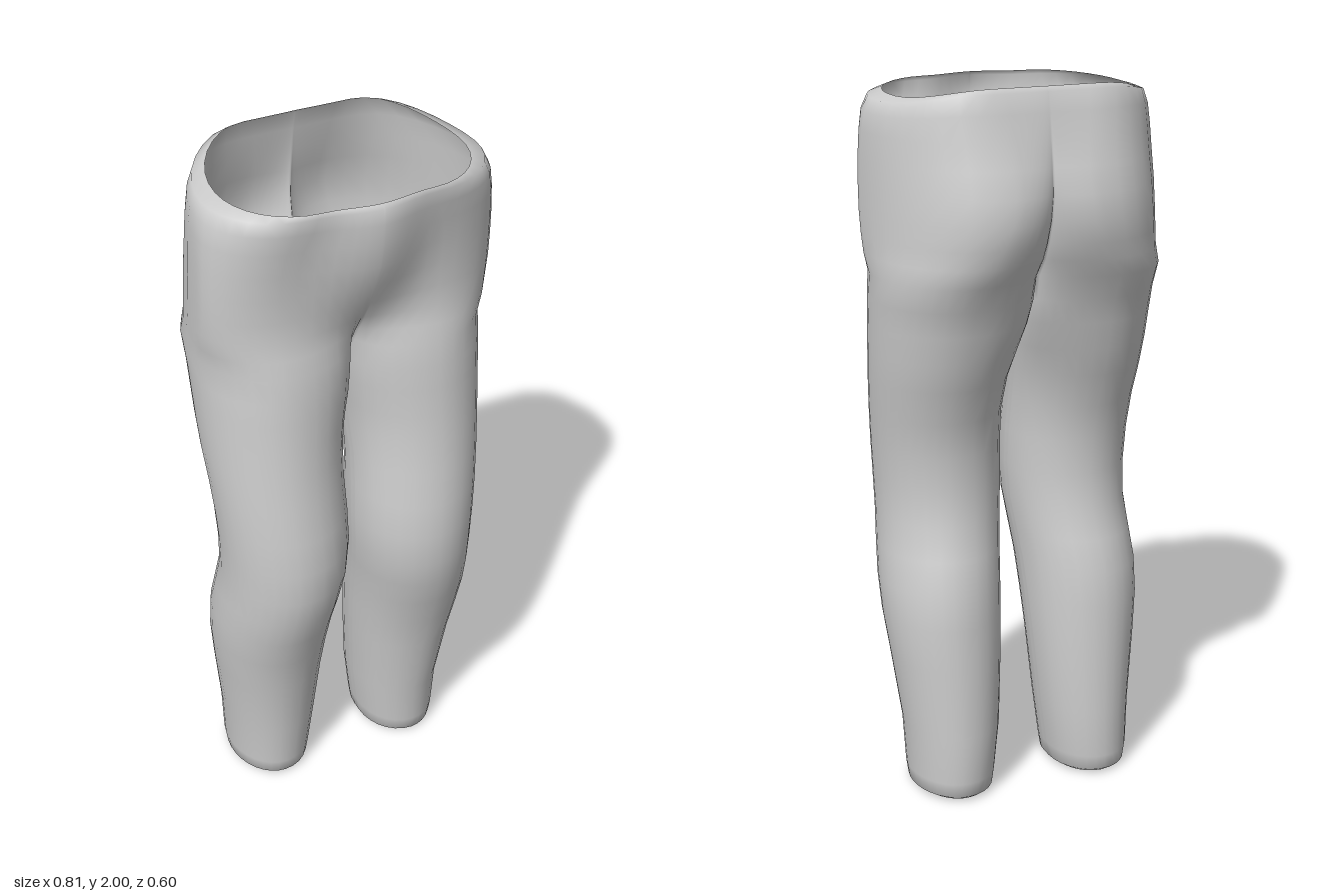
import * as THREE from 'three';
import { mergeVertices } from 'three/addons/utils/BufferGeometryUtils.js';

// Leg sections: height, inner x, outer x, front z, back z
const LEG = [
  [0.004, 0.118, 0.302, 0.105, -0.158], [0.018, 0.098, 0.324, 0.128, -0.178],
  [0.06, 0.092, 0.33, 0.135, -0.183], [0.2, 0.075, 0.337, 0.148, -0.185],
  [0.4, 0.06, 0.362, 0.182, -0.175], [0.52, 0.052, 0.376, 0.213, -0.168],
  [0.62, 0.046, 0.378, 0.246, -0.158], [0.71, 0.037, 0.371, 0.274, -0.134],
  [0.8, 0.026, 0.365, 0.291, -0.106], [0.9, 0.02, 0.368, 0.294, -0.098],
  [1.0, 0.022, 0.375, 0.285, -0.1], [1.1, 0.025, 0.383, 0.271, -0.117],
  [1.2, 0.02, 0.391, 0.259, -0.152], [1.28, 0.012, 0.395, 0.252, -0.178],
  [1.36, 0.003, 0.398, 0.246, -0.198], [1.43, 0.001, 0.4, 0.242, -0.218],
  [1.5, 0, 0.402, 0.234, -0.252],
];
// Hip sections: height, outer x, front peak x, back peak x, front z, back z,
// z of the widest point, centre front z, centre back z
const HIP = [
  [1.55, 0.404, 0.2, 0.17, 0.224, -0.27, 0.04, 0.145, -0.19],
  [1.6, 0.405, 0.2, 0.15, 0.216, -0.286, 0.06, 0.185, -0.22],
  [1.66, 0.405, 0.2, 0.13, 0.216, -0.298, 0.075, 0.22, -0.245],
  [1.73, 0.404, 0.2, 0.12, 0.222, -0.294, 0.08, 0.254, -0.257],
  [1.8, 0.402, 0.2, 0.12, 0.232, -0.273, 0.08, 0.281, -0.252],
  [1.87, 0.398, 0.19, 0.13, 0.247, -0.25, 0.075, 0.295, -0.242],
  [1.92, 0.391, 0.17, 0.14, 0.262, -0.234, 0.07, 0.3, -0.232],
  [1.955, 0.374, 0.16, 0.15, 0.27, -0.22, 0.06, 0.298, -0.22],
  [1.967, 0.333, 0.15, 0.15, 0.265, -0.205, 0.05, 0.286, -0.207],
];
const INNER = 7, OUTER = 8, BRIDGE = 5;
const OPEN = 2 * (INNER + OUTER) + 1; // points from centre front round to centre back
const CLOSED = OPEN + BRIDGE;         // plus the inner thigh

// One half section, from the inner front round the outside to the inner back
function section({ y, xi, xo, xf, xb, zf, zb, zm, zcf, zcb, hip }) {
  const pts = [];
  const quarter = Math.PI / 2;
  for (let i = 0; i < INNER; i++) {
    const t = quarter * (1 - i / INNER), s = Math.sin(t);
    const w = THREE.MathUtils.lerp(Math.cos(t), 0.5 + 0.5 * Math.cos(Math.PI * s), hip);
    pts.push([xf - (xf - xi) * s, zcf + (zf - zcf) * w]);
  }
  for (let i = 0; i < OUTER; i++) {
    const t = quarter * i / OUTER;
    pts.push([xf + (xo - xf) * Math.sin(t), zm + (zf - zm) * Math.cos(t)]);
  }
  for (let i = 0; i < OUTER; i++) {
    const t = quarter * i / OUTER;
    pts.push([xb + (xo - xb) * Math.cos(t), zm + (zb - zm) * Math.sin(t)]);
  }
  for (let i = 0; i <= INNER; i++) {
    const t = quarter * i / INNER;
    const w = Math.pow(Math.max(0, Math.cos(t)), 1 + 0.5 * hip);
    pts.push([xb - (xb - xi) * Math.sin(t), zcb + (zb - zcb) * w]);
  }
  for (let i = 1; i <= BRIDGE; i++) pts.push([xi, THREE.MathUtils.lerp(zcb, zcf, i / (BRIDGE + 1))]);
  // the waist rises at the back and a little at the front
  const rim = THREE.MathUtils.smoothstep(y, 1.88, 1.96);
  return pts.map(([x, z]) => [x, y + rim * (z < 0 ? 0.033 * Math.min(1, (z / 0.205) ** 2) : 0.012 * (z / 0.29) ** 2), z]);
}

function trouserGeometry() {
  const rows = LEG.map(([y, xi, xo, zf, zb]) => {
    const mid = (xi + xo) / 2, zm = (zf + zb) / 2;
    const crotch = THREE.MathUtils.smoothstep(y, 1.15, 1.5);
    return section({
      y, xi, xo, xf: mid, xb: mid, zf, zb, zm, hip: 0,
      zcf: THREE.MathUtils.lerp(zm + 0.015, 0.1, crotch),
      zcb: THREE.MathUtils.lerp(zm - 0.015, -0.14, crotch),
    });
  });
  for (const [y, xo, xf, xb, zf, zb, zm, zcf, zcb] of HIP) {
    const hip = THREE.MathUtils.clamp((y - 1.5) / 0.15, 0, 1);
    rows.push(section({ y, xi: 0, xo, xf, xb, zf, zb, zm, zcf, zcb, hip }));
  }

  // Skin both halves; above the crotch the halves join along the centre
  const position = [], index = [];
  for (const side of [1, -1]) {
    const base = position.length / 3;
    for (const row of rows) for (const [x, y, z] of row) position.push(side * x, y, z);
    for (let r = 0; r < rows.length - 1; r++) {
      const count = r < LEG.length - 1 ? CLOSED : OPEN - 1;
      for (let i = 0; i < count; i++) {
        const j = (i + 1) % CLOSED;
        const a = base + r * CLOSED + i, b = base + r * CLOSED + j;
        const c = b + CLOSED, d = a + CLOSED;
        if (side > 0) index.push(a, b, c, a, c, d);
        else index.push(a, c, b, a, d, c);
      }
    }
  }
  const geometry = new THREE.BufferGeometry();
  geometry.setAttribute('position', new THREE.Float32BufferAttribute(position, 3));
  geometry.setIndex(index);
  const merged = mergeVertices(geometry, 1e-4);
  merged.computeVertexNormals();
  return merged;
}

export function createModel() {
  const cloth = new THREE.MeshStandardMaterial({ color: 0xcccccc, side: THREE.DoubleSide });
  cloth.name = 'grey cloth';
  const trousers = new THREE.Mesh(trouserGeometry(), cloth);
  trousers.name = 'trousers';
  const group = new THREE.Group();
  group.name = 'trouser model';
  group.add(trousers);
  return group;
}
